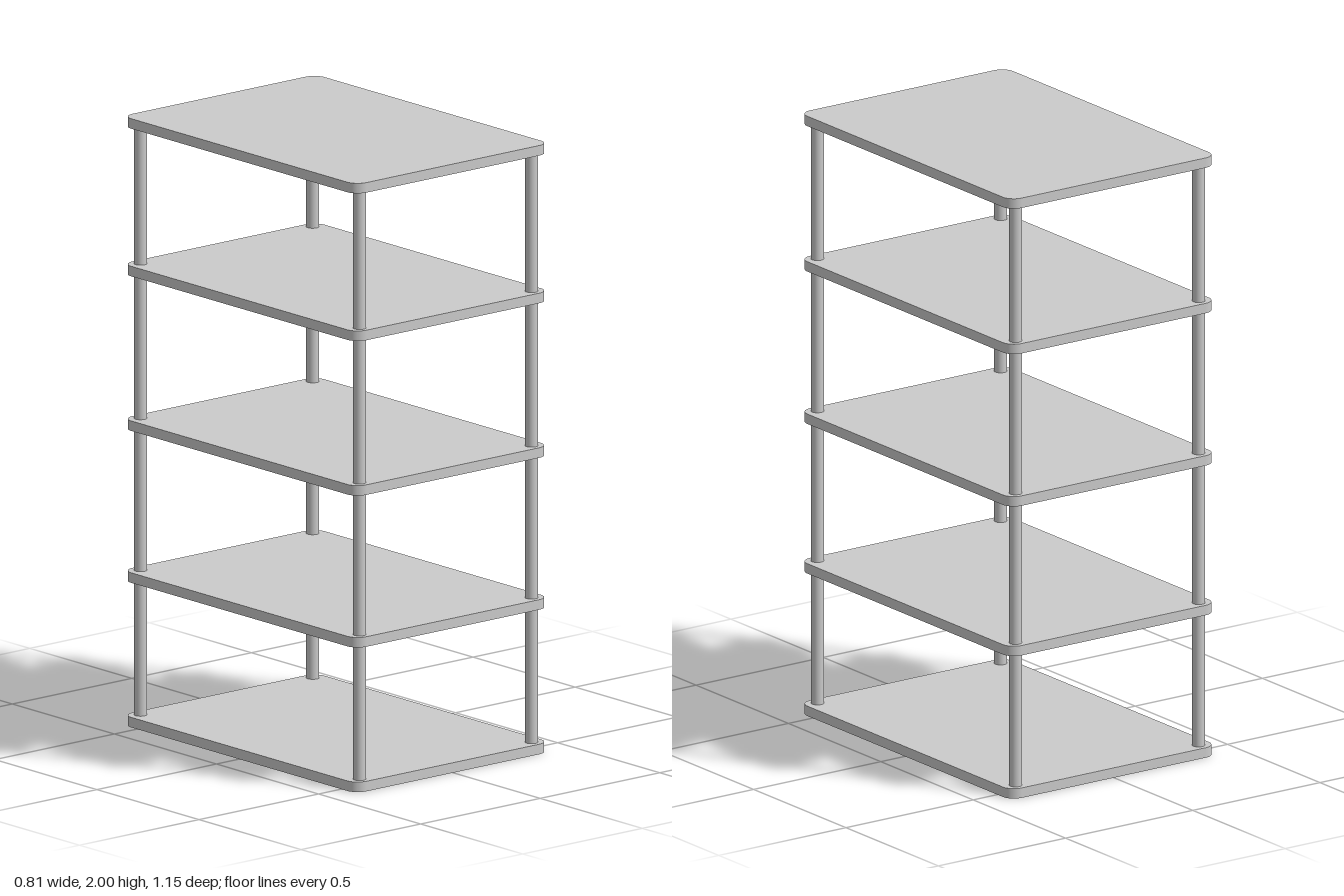
import * as THREE from 'three';

const HALF_W = 0.405, HALF_D = 0.573, CORNER = 0.044;
const THICK = 0.033, POST_R = 0.021, POST_X = 0.36, POST_Z = 0.536;

// Rounded rectangle outline of a shelf board
function boardShape() {
  const s = new THREE.Shape();
  const x = HALF_W - CORNER, y = HALF_D - CORNER;
  s.absarc(x, y, CORNER, 0, Math.PI / 2);
  s.absarc(-x, y, CORNER, Math.PI / 2, Math.PI);
  s.absarc(-x, -y, CORNER, Math.PI, Math.PI * 1.5);
  s.absarc(x, -y, CORNER, Math.PI * 1.5, Math.PI * 2);
  s.closePath();
  return s;
}

export function createModel() {
  const group = new THREE.Group();
  group.name = 'shelfUnit';
  const material = new THREE.MeshStandardMaterial({ color: 0xcccccc });

  // Five boards, given by the height of their undersides
  const boardGeo = new THREE.ExtrudeGeometry(boardShape(), {
    depth: THICK, bevelEnabled: false, curveSegments: 10,
  });
  boardGeo.rotateX(-Math.PI / 2);
  const levels = [0, 0.475, 0.974, 1.482, 2 - THICK];
  levels.forEach((y, i) => {
    const board = new THREE.Mesh(boardGeo, material);
    board.name = `shelf${i + 1}`;
    board.position.y = y;
    group.add(board);
  });

  // Four round posts between each pair of boards
  for (let i = 0; i < levels.length - 1; i++) {
    const bottom = levels[i] + THICK, height = levels[i + 1] - bottom;
    const postGeo = new THREE.CylinderGeometry(POST_R, POST_R, height, 32);
    for (const sx of [-1, 1]) for (const sz of [-1, 1]) {
      const post = new THREE.Mesh(postGeo, material);
      post.name = `${sz > 0 ? 'front' : 'back'}${sx > 0 ? 'Left' : 'Right'}Post${i + 1}`;
      post.position.set(sx * POST_X, bottom + height / 2, sz * POST_Z);
      group.add(post);
    }
  }
  return group;
}
